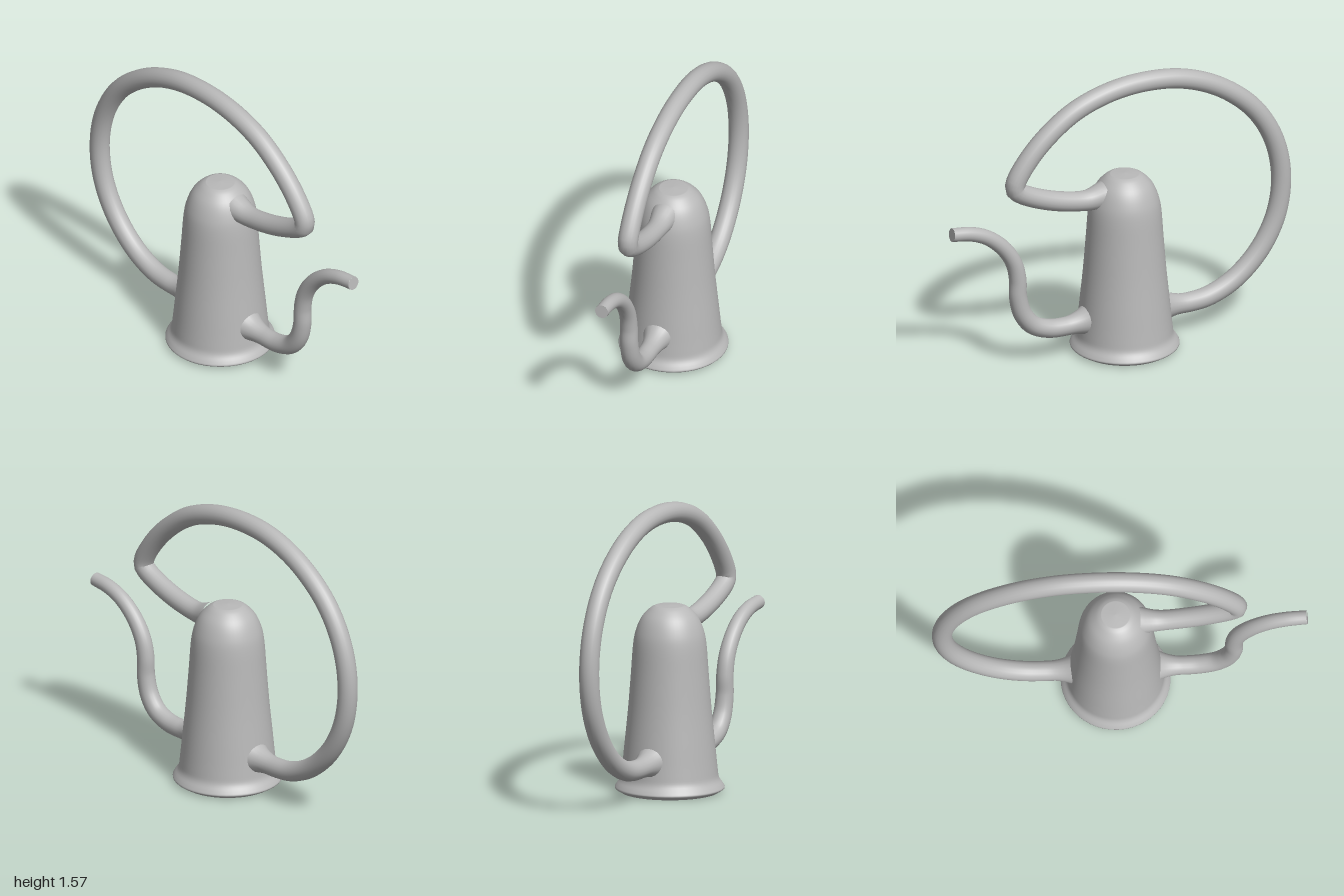
import * as THREE from 'three';

const V = (z, y) => new THREE.Vector3(0, y, z);

// Tube in the x = 0 plane; radiusAt(distance from start, distance to end)
function taperedTube(points, segments, radiusAt, material, name) {
  const curve = new THREE.CatmullRomCurve3(points.map(([z, y]) => V(z, y)));
  curve.arcLengthDivisions = 600;
  const sides = 20;
  const geometry = new THREE.TubeGeometry(curve, segments, 1, sides, false);
  const pos = geometry.attributes.position;
  const length = curve.getLength();
  const p = new THREE.Vector3();
  for (let i = 0; i <= segments; i++) {
    const u = i / segments;
    const c = curve.getPointAt(u);
    const r = radiusAt(u * length, (1 - u) * length);
    for (let j = 0; j <= sides; j++) {
      const k = i * (sides + 1) + j;
      p.fromBufferAttribute(pos, k).sub(c).multiplyScalar(r).add(c);
      pos.setXYZ(k, p.x, p.y, p.z);
    }
  }
  geometry.computeVertexNormals();
  // Match normals along the lengthwise seam
  const normal = geometry.attributes.normal;
  const a = new THREE.Vector3(), b = new THREE.Vector3();
  for (let i = 0; i <= segments; i++) {
    const k = i * (sides + 1);
    a.fromBufferAttribute(normal, k).add(b.fromBufferAttribute(normal, k + sides)).normalize();
    normal.setXYZ(k, a.x, a.y, a.z);
    normal.setXYZ(k + sides, a.x, a.y, a.z);
  }
  const mesh = new THREE.Mesh(geometry, material);
  mesh.name = name;
  return mesh;
}

// Smooth widening where a tube meets the body
const flare = (d, reach, amount) => amount * Math.max(0, 1 - d / reach) ** 2;

export function createModel() {
  const group = new THREE.Group();
  group.name = 'wateringCan';
  const grey = new THREE.MeshStandardMaterial({ color: 0xb8b8b8 });
  grey.name = 'grey';
  const bodyZ = -0.022;

  // Tall tapered body with flared foot and domed top
  const profile = new THREE.SplineCurve([
    [0.268, 0.005], [0.292, 0.02], [0.284, 0.04], [0.262, 0.075], [0.254, 0.13], [0.241, 0.26],
    [0.222, 0.45], [0.207, 0.64], [0.195, 0.8], [0.178, 0.88], [0.148, 0.945], [0.105, 0.99], [0.075, 1.006],
  ].map(([r, y]) => new THREE.Vector2(r, y))).getPoints(48);
  const body = new THREE.Mesh(new THREE.LatheGeometry([...profile, new THREE.Vector2(0, 1.01)], 48), grey);
  body.name = 'body';
  body.position.z = bodyZ;
  group.add(body);

  // Flat underside
  const base = new THREE.Mesh(new THREE.CylinderGeometry(0.268, 0.262, 0.006, 48), grey);
  base.name = 'base';
  base.position.set(0, 0.003, bodyZ);
  group.add(base);

  // Large looping handle from the upper front, over the top, to the lower back
  group.add(taperedTube([
    [0.1, 0.905], [0.2, 0.892], [0.35, 0.915], [0.5, 0.963], [0.595, 1.01], [0.622, 1.035], [0.622, 1.07],
    [0.56, 1.175], [0.44, 1.305], [0.27, 1.425], [0.07, 1.495], [-0.14, 1.517], [-0.36, 1.492],
    [-0.58, 1.402], [-0.78, 1.24], [-0.9, 1.04], [-0.945, 0.82], [-0.917, 0.6], [-0.82, 0.41],
    [-0.67, 0.265], [-0.52, 0.195], [-0.4, 0.18], [-0.3, 0.185], [-0.2, 0.195],
  ], 160, (s, e) => 0.054 + flare(s, 0.16, 0.022) + flare(e, 0.17, 0.055), grey, 'handle'));

  // S-shaped spout narrowing towards the tip
  const spoutPoints = [
    [0.16, 0.2], [0.25, 0.188], [0.34, 0.182], [0.43, 0.19], [0.52, 0.228], [0.58, 0.305], [0.607, 0.41],
    [0.609, 0.51], [0.632, 0.61], [0.695, 0.71], [0.79, 0.79], [0.89, 0.83], [0.997, 0.845],
  ];
  group.add(taperedTube(spoutPoints, 90,
    (s, e) => 0.037 + 0.014 * Math.min(1, e / 0.8) + flare(s, 0.17, 0.055), grey, 'spout'));

  // Closed spout tip
  const tip = new THREE.Mesh(new THREE.CircleGeometry(0.037, 20), grey);
  tip.name = 'spoutTip';
  tip.position.set(0, 0.845, 0.997);
  tip.rotation.x = -0.12;
  group.add(tip);

  return group;
}
